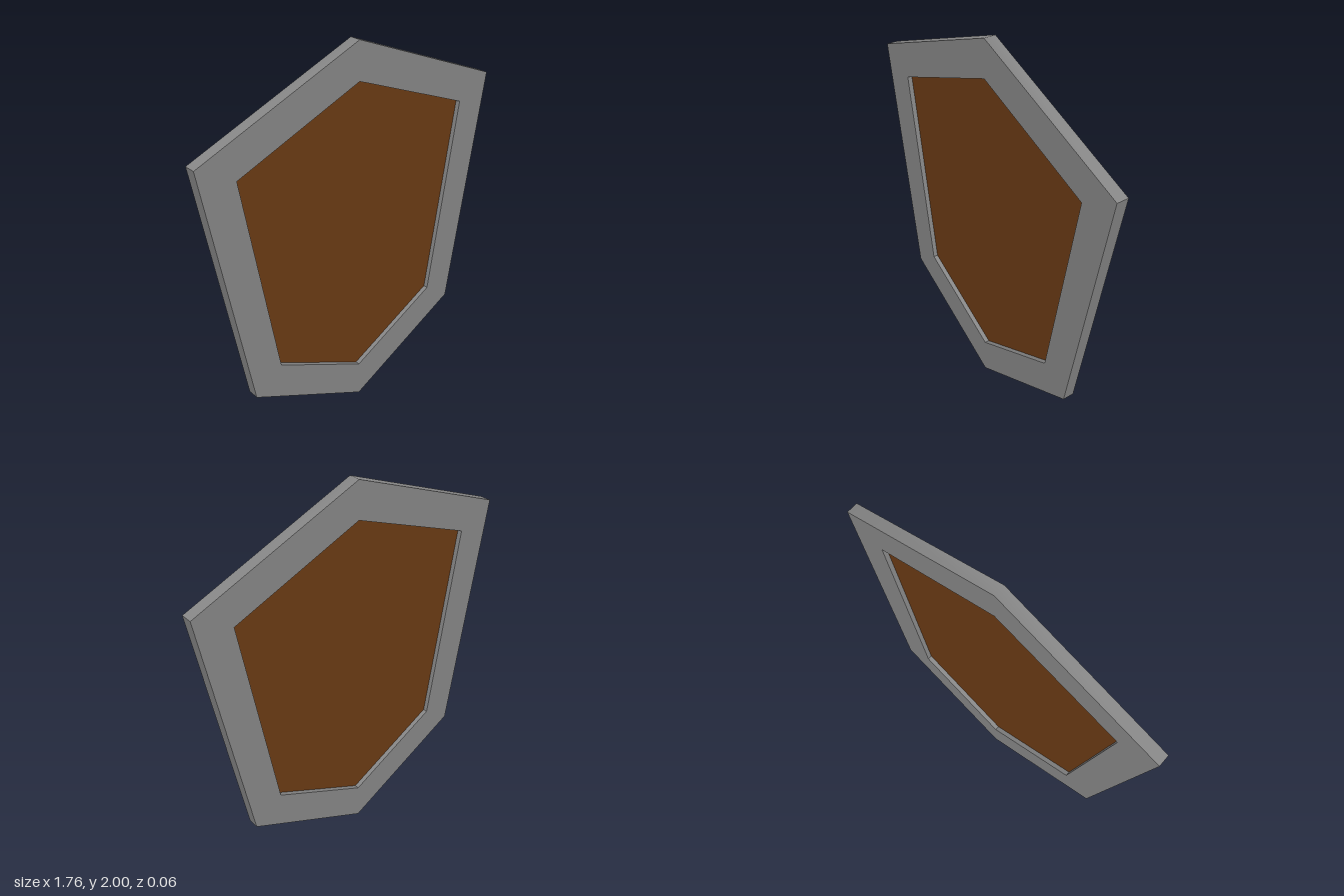
import * as THREE from 'three';
import { toCreasedNormals } from 'three/addons/utils/BufferGeometryUtils.js';

// Symmetric six-sided outline, counter-clockwise from the bottom point
const outline = (bottom, [lx, ly], [ux, uy], top) =>
  [[0, bottom], [lx, ly], [ux, uy], [0, top], [-ux, uy], [-lx, ly]]
    .map(([x, y]) => new THREE.Vector2(x, y));

// Flat slab of the given depth, centred on z = 0; only the shallow top peak is smoothed
function slab(name, shape, depth, color) {
  const geometry = new THREE.ExtrudeGeometry(shape, { depth, bevelEnabled: false });
  geometry.translate(0, 0, -depth / 2);
  const material = new THREE.MeshStandardMaterial({ color });
  const mesh = new THREE.Mesh(toCreasedNormals(geometry, 0.8), material);
  mesh.name = name;
  return mesh;
}

export function createModel() {
  const group = new THREE.Group();
  group.name = 'shield';

  const outer = outline(0, [0.67, 0.355], [0.88, 1.65], 2);
  const inner = outline(0.2, [0.513, 0.472], [0.684, 1.54], 1.81);

  // Dark metal rim with an opening through it
  const rim = new THREE.Shape(outer);
  rim.holes.push(new THREE.Path(inner));
  group.add(slab('rim', rim, 0.06, 0x868686));

  // Thin wooden panel, recessed on both sides
  group.add(slab('panel', new THREE.Shape(inner), 0.012, 0x6a3a14));

  return group;
}
